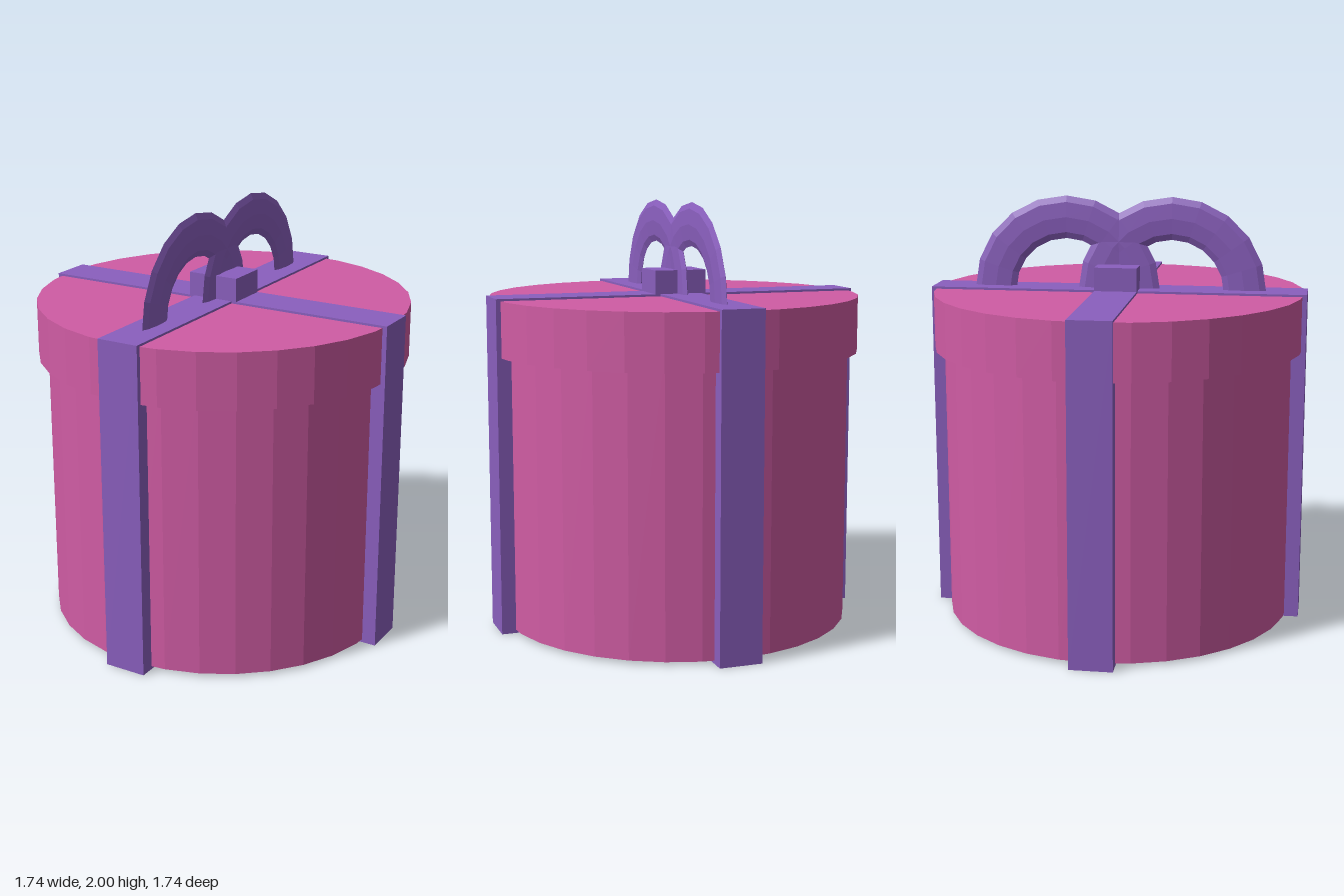
import * as THREE from 'three';

export function createModel() {
  const model = new THREE.Group();
  model.name = 'giftBox';
  const pink = new THREE.MeshStandardMaterial({ color: 0xd05ca4, flatShading: true });
  pink.name = 'pink paper';
  const purple = new THREE.MeshStandardMaterial({ color: 0x8a5fbe, flatShading: true });
  purple.name = 'purple ribbon';

  const add = (parent, name, geometry, material, x, y, z) => {
    const mesh = new THREE.Mesh(geometry, material);
    mesh.name = name;
    mesh.position.set(x, y, z);
    parent.add(mesh);
    return mesh;
  };

  // Upright faceted drum between two heights, with a flat side facing front
  const drum = (name, radius, bottom, top) => {
    const geometry = new THREE.CylinderGeometry(radius, radius, top - bottom, 32);
    geometry.rotateY(Math.PI / 32);
    add(model, name, geometry, pink, 0, (bottom + top) / 2, 0);
  };
  drum('boxBody', 0.829, 0.015, 1.4);
  drum('lid', 0.874, 1.3, 1.56);

  // Ribbon and bow share one diagonal direction
  const wrapping = new THREE.Group();
  wrapping.name = 'wrapping';
  wrapping.rotation.y = 0.876;
  model.add(wrapping);

  // Two crossing bands that run round the whole box
  const height = 1.57;
  add(wrapping, 'ribbonAlongBow', new THREE.BoxGeometry(1.772, height, 0.2), purple, 0, height / 2, 0);
  add(wrapping, 'ribbonAcrossBow', new THREE.BoxGeometry(0.2, height, 1.772), purple, 0, height / 2, 0);

  // Knot
  add(wrapping, 'knot', new THREE.BoxGeometry(0.2, 0.13, 0.25), purple, 0, 1.615, 0);

  // Two overlapping flattened loops
  for (const side of [-1, 1]) {
    const loop = new THREE.TorusGeometry(0.345, 0.1, 8, 10, Math.PI);
    loop.scale(1, 1, 0.18);
    add(wrapping, side < 0 ? 'bowLoopRight' : 'bowLoopLeft', loop, purple, side * 0.25, 1.555, 0);
  }
  return model;
}
